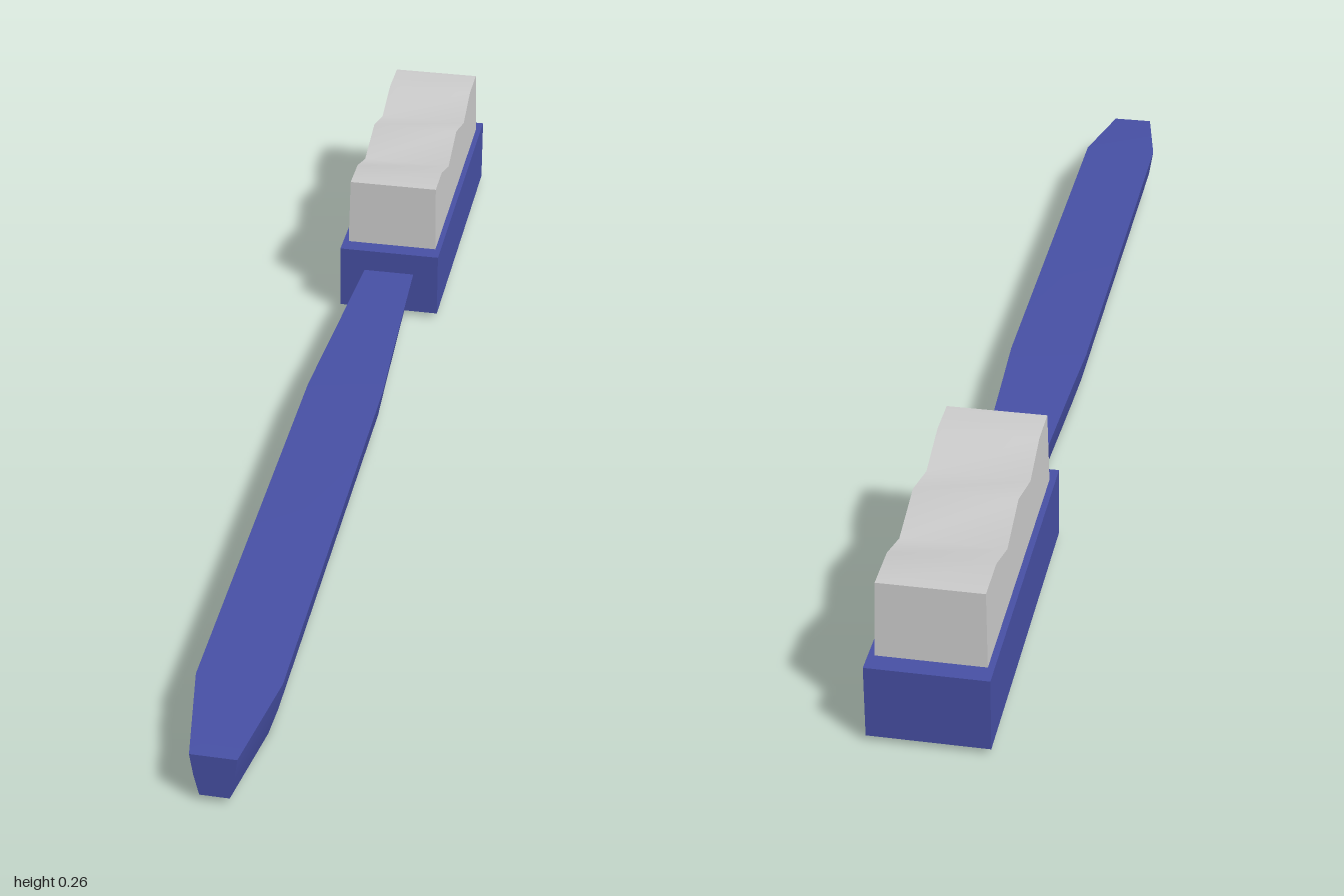
import * as THREE from 'three';
import { toCreasedNormals } from 'three/addons/utils/BufferGeometryUtils.js';

const blue = new THREE.MeshStandardMaterial({ color: 0x4750a5 });
const grey = new THREE.MeshStandardMaterial({ color: 0xcccccc });

function addPart(group, name, geometry, material) {
  const mesh = new THREE.Mesh(toCreasedNormals(geometry, 0.75), material);
  mesh.name = name;
  group.add(mesh);
  return mesh;
}

// Tapered bar with slightly bowed sides.
// Each section: z, bottom y, top y, half-width at bottom, middle and top.
function handleGeometry(sections) {
  const positions = [];
  const index = [];
  const n = 6;
  for (const [z, y0, y1, w0, wm, w1] of sections) {
    const ym = (y0 + y1) / 2;
    positions.push(-w0, y0, z, w0, y0, z, wm, ym, z, w1, y1, z, -w1, y1, z, -wm, ym, z);
  }
  for (let s = 0; s < sections.length - 1; s++) {
    for (let i = 0; i < n; i++) {
      const a = s * n + i, b = s * n + (i + 1) % n;
      index.push(a, b, b + n, a, b + n, a + n);
    }
  }
  // End caps
  const front = (sections.length - 1) * n;
  for (let i = 1; i < n - 1; i++) {
    index.push(0, i + 1, i);
    index.push(front, front + i, front + i + 1);
  }
  const g = new THREE.BufferGeometry();
  g.setAttribute('position', new THREE.Float32BufferAttribute(positions, 3));
  g.setIndex(index);
  return g;
}

// Block with a wavy top, narrowing slightly upwards.
function bristleGeometry() {
  const crest = [
    [-0.962, 0.256], [-0.885, 0.256], [-0.805, 0.228], [-0.712, 0.256],
    [-0.617, 0.228], [-0.537, 0.256], [-0.467, 0.256],
  ];
  const base = 0.13;
  const g = new THREE.BoxGeometry(1, 1, crest.length - 1, 1, 1, crest.length - 1);
  const p = g.attributes.position;
  for (let i = 0; i < p.count; i++) {
    const k = Math.round(p.getZ(i) + (crest.length - 1) / 2);
    const top = p.getY(i) > 0;
    const [z, y] = crest[k];
    const flare = k === 0 ? -0.006 : k === crest.length - 1 ? 0.006 : 0;
    const halfWidth = top ? 0.0835 - 0.0025 * (y - base) / 0.126 : 0.0835;
    p.setXYZ(i, Math.sign(p.getX(i)) * halfWidth, top ? y : base, top ? z : z + flare);
  }
  return g;
}

export function createModel() {
  const group = new THREE.Group();
  group.name = 'toothbrush';

  // Handle, listed from the neck to the tip
  addPart(group, 'handle', handleGeometry([
    [-0.45, 0.011, 0.090, 0.029, 0.038, 0.046],
    [-0.10, 0.002, 0.098, 0.040, 0.054, 0.062],
    [0.00, 0.000, 0.099, 0.043, 0.059, 0.067],
    [0.83, 0.000, 0.099, 0.043, 0.059, 0.067],
    [1.00, 0.013, 0.088, 0.023, 0.031, 0.036],
  ]), blue);

  // Brush head
  const head = addPart(group, 'head', new THREE.BoxGeometry(0.187, 0.122, 0.57), blue);
  head.position.set(0, 0.071, -0.715);

  // Bristles
  addPart(group, 'bristles', bristleGeometry(), grey);

  return group;
}
